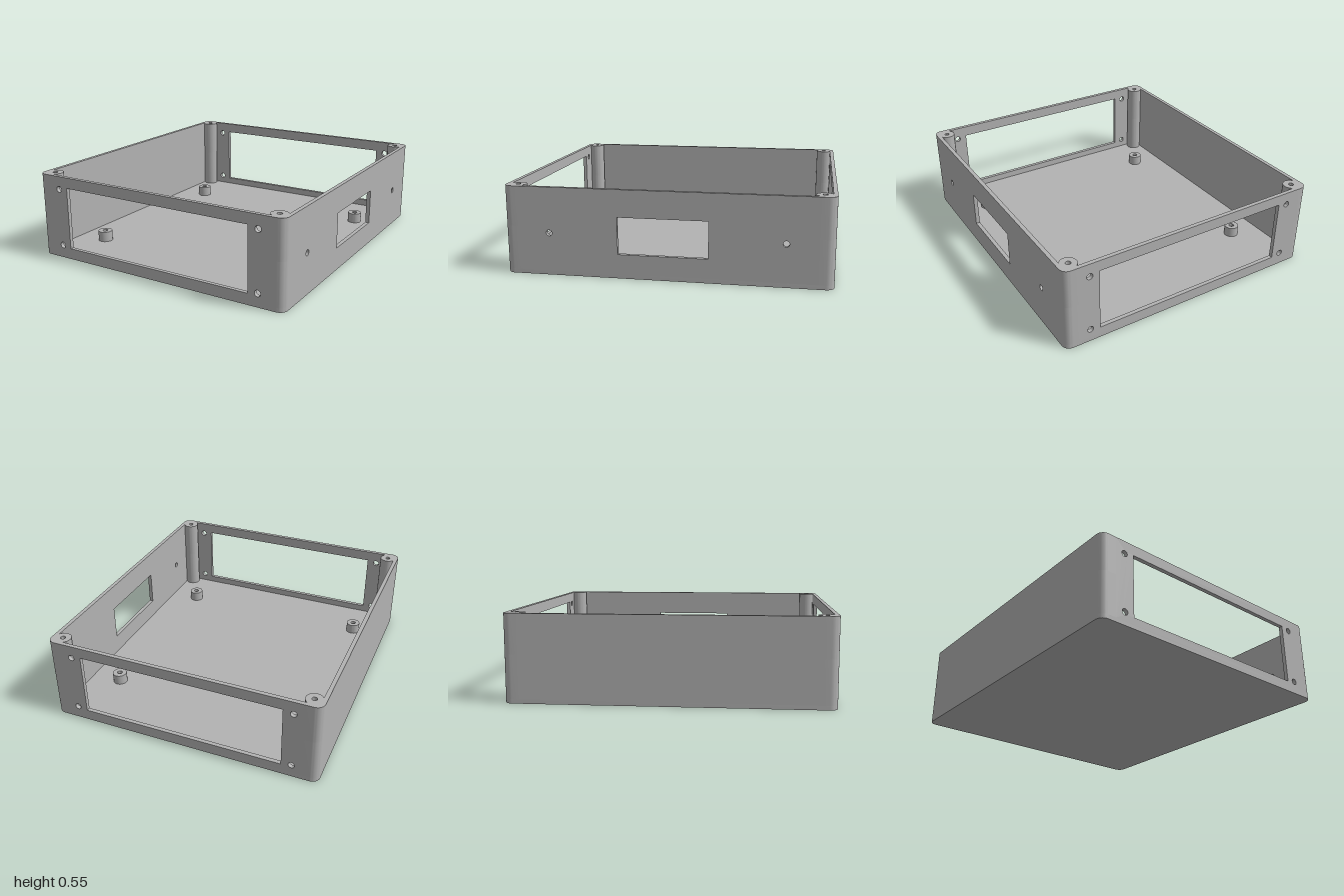
import * as THREE from 'three';
import { toCreasedNormals } from 'three/addons/utils/BufferGeometryUtils.js';

const W = 0.893, D = 1, H = 0.55;   // half width, half depth, height
const FLOOR = 0.027, T = 0.026;     // floor and wall thickness
const R = 0.05;                     // outer corner radius
const POST = { x: 0.821, z: 0.928, r: 0.053, hole: 0.016 };
const END_X = 0.79, END_Z = 0.9;    // where the flat walls meet the corners

const grey = new THREE.MeshStandardMaterial({ color: 0xb2b2b2 });
grey.name = 'grey plastic';

const V = (x, y) => new THREE.Vector2(x, y);

// points along an arc, angles in radians
function arc(cx, cy, r, from, to, n) {
  return Array.from({ length: n + 1 }, (_, i) => {
    const a = from + (to - from) * i / n;
    return V(cx + r * Math.cos(a), cy + r * Math.sin(a));
  });
}

function circle(cx, cy, r) {
  return new THREE.Path(arc(cx, cy, r, 0, Math.PI * 2, 32).slice(0, -1));
}

function rect(x0, y0, x1, y1) {
  return [V(x0, y0), V(x1, y0), V(x1, y1), V(x0, y1)];
}

function extrude(points, holes, depth) {
  const shape = new THREE.Shape(points);
  shape.holes.push(...holes);
  const geo = new THREE.ExtrudeGeometry(shape, { depth, bevelEnabled: false });
  return toCreasedNormals(geo, 0.5);
}

// plan outline (x, -z) raised from y0 to y1
function raise(points, holes, y0, y1) {
  return extrude(points, holes, y1 - y0).rotateX(-Math.PI / 2).translate(0, y0, 0);
}

export function createModel() {
  const group = new THREE.Group();
  const add = (name, geo) => {
    const mesh = new THREE.Mesh(geo, grey);
    mesh.name = name;
    group.add(mesh);
  };

  // floor with rounded corners
  const q = Math.PI / 2;
  add('floor', raise([
    ...arc(W - R, D - R, R, 0, q, 10),
    ...arc(-W + R, D - R, R, q, 2 * q, 10),
    ...arc(-W + R, -D + R, R, 2 * q, 3 * q, 10),
    ...arc(W - R, -D + R, R, 3 * q, 4 * q, 10),
  ], [], 0, FLOOR));

  // front and back walls: large opening and four screw holes
  const panelHoles = () => {
    const holes = [new THREE.Path(rect(-0.662, 0.072, 0.662, 0.48))];
    for (const x of [-0.727, 0.727])
      for (const y of [0.085, 0.465]) holes.push(circle(x, y, 0.02));
    return holes;
  };
  const endWall = () => extrude(rect(-END_X, FLOOR, END_X, H), panelHoles(), T);
  add('frontWall', endWall().translate(0, 0, D - T));
  add('backWall', endWall().translate(0, 0, -D));

  // left wall: socket window and two screw holes; the plan runs along -z
  const sideHoles = [
    new THREE.Path(rect(-0.29, 0.15, 0.262, 0.38)),
    circle(-0.717, 0.265, 0.019),
    circle(0.717, 0.265, 0.019),
  ];
  const sideWall = holes =>
    extrude(rect(-END_Z, FLOOR, END_Z, H), holes, T).rotateY(Math.PI / 2);
  add('leftWall', sideWall(sideHoles).translate(W - T, 0, 0));
  add('rightWall', sideWall([]).translate(-W, 0, 0));

  // rounded corners, each with a screw post and a blind hole
  const a0 = -Math.acos((W - T - POST.x) / POST.r);
  const a1 = Math.PI - Math.asin((D - T - POST.z) / POST.r) - 2 * Math.PI;
  const corner = [
    V(END_X, D),
    ...arc(W - R, D - R, R, q, 0, 10),
    V(W, END_Z), V(W - T, END_Z),
    ...arc(POST.x, POST.z, POST.r, a0, a1, 28),
    V(END_X, D - T),
  ];
  const holeBottom = 0.3;
  for (const sx of [-1, 1]) for (const sz of [-1, 1]) {
    const outline = () => corner.map(p => V(p.x * sx, p.y * sz));
    add('cornerPostLower', raise(outline(), [], FLOOR, holeBottom));
    add('cornerPostUpper', raise(outline(),
      [circle(POST.x * sx, POST.z * sz, POST.hole)], holeBottom, H));
  }

  // board standoffs
  for (const x of [-0.662, 0.662]) for (const z of [-0.583, 0.66])
    add('standoff', raise(arc(x, -z, 0.047, 0, Math.PI * 2, 32).slice(0, -1),
      [circle(x, -z, 0.017)], FLOOR, 0.095));

  return group;
}
